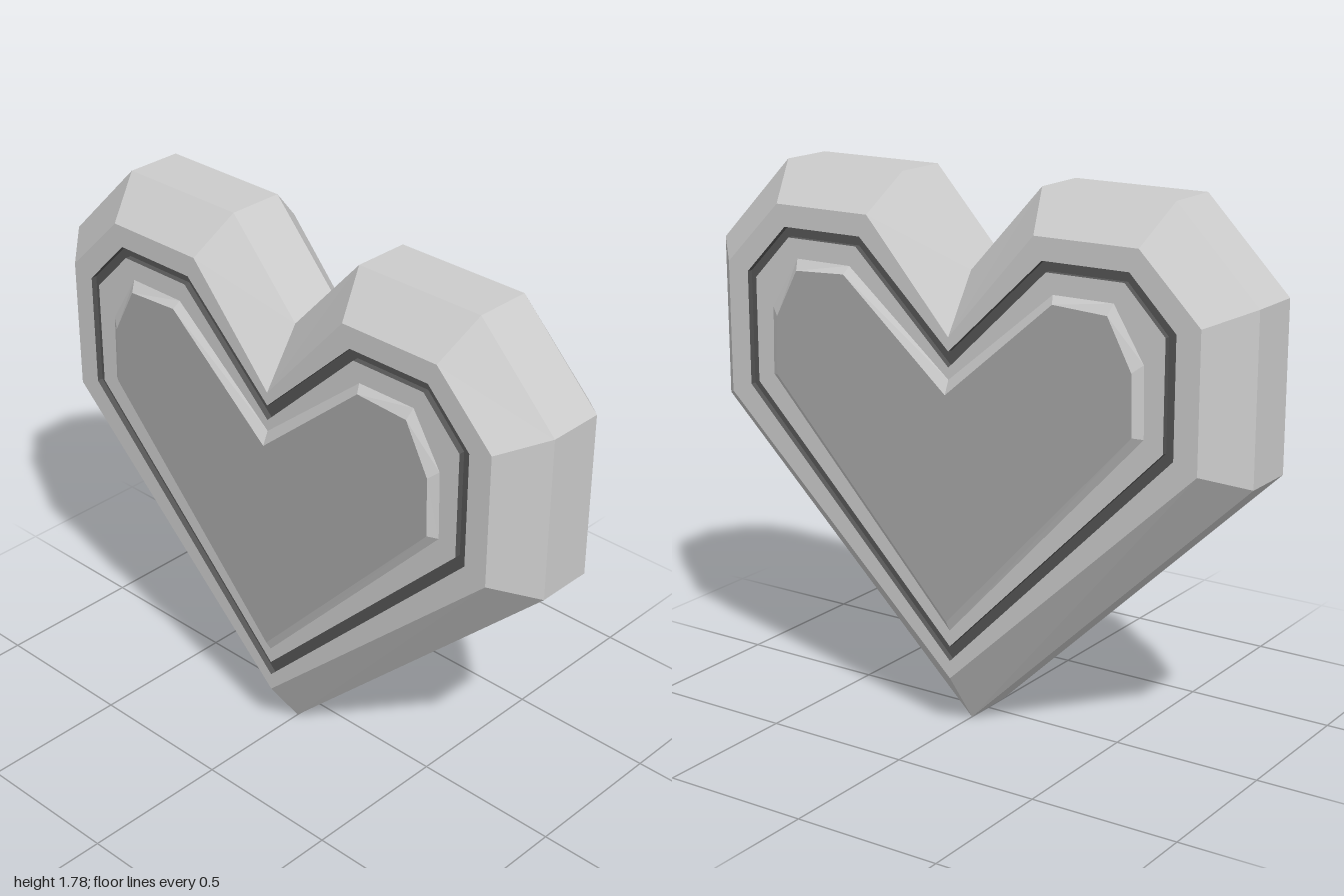
import * as THREE from 'three';

// Closed heart loop, counter-clockwise from the front: tip, right half, notch, mirrored left half.
function heart(tip, right, notch) {
  const left = right.map(([x, y]) => [-x, y]).reverse();
  return [[0, tip], ...right, [0, notch], ...left];
}

// Flat-faced band joining an outer loop at z0 to an inner loop at z1.
function band(a, z0, b, z1) {
  const pos = [];
  a.forEach((_, i) => {
    const j = (i + 1) % a.length;
    const p = [...a[i], z0], q = [...a[j], z0], r = [...b[j], z1], s = [...b[i], z1];
    pos.push(...p, ...q, ...r, ...p, ...r, ...s);
  });
  const g = new THREE.BufferGeometry();
  g.setAttribute('position', new THREE.Float32BufferAttribute(pos, 3));
  g.computeVertexNormals();
  return g;
}

export function createModel() {
  const model = new THREE.Group();
  model.name = 'heart';
  const shell = new THREE.MeshStandardMaterial({ color: 0xcccccc });
  shell.name = 'light grey';
  const panel = new THREE.MeshStandardMaterial({ color: 0xa8a8a8 });
  panel.name = 'mid grey';
  const dark = new THREE.MeshStandardMaterial({ color: 0x555555 });
  dark.name = 'dark grey';

  // Loops from the rim inwards
  const rim = heart(0, [[1, 0.96], [1, 1.5], [0.72, 1.785], [0.26, 1.785]], 1.5);
  const face = heart(0.18, [[0.88, 1.01], [0.88, 1.45], [0.67, 1.66], [0.31, 1.66]], 1.31);
  const grooveOut = heart(0.24, [[0.8, 1.045], [0.8, 1.425], [0.64, 1.588], [0.34, 1.588]], 1.265);
  const grooveIn = heart(0.29, [[0.765, 1.06], [0.765, 1.41], [0.625, 1.555], [0.355, 1.555]], 1.214);
  const raisedOut = heart(0.345, [[0.7, 1.095], [0.695, 1.32], [0.59, 1.49], [0.38, 1.49]], 1.175);
  const raisedIn = heart(0.38, [[0.67, 1.1], [0.665, 1.295], [0.58, 1.455], [0.39, 1.465]], 1.13);

  const zRim = 0.095, zFace = 0.22, zFloor = 0.2, zTop = 0.24;
  const add = (parent, name, geometry, material) => {
    const mesh = new THREE.Mesh(geometry, material);
    mesh.name = name;
    parent.add(mesh);
    return mesh;
  };

  // Straight outer edge
  add(model, 'rim', band(rim, -zRim, rim, zRim), shell);

  // Identical front and back
  ['front', 'back'].forEach((side, k) => {
    const half = new THREE.Group();
    half.name = side + 'Side';
    half.rotation.y = k * Math.PI;
    add(half, 'outerBevel', band(rim, zRim, face, zFace), shell);
    add(half, 'outerFace', band(face, zFace, grooveOut, zFace), shell);
    // Dark groove: outer wall, floor, inner wall
    add(half, 'grooveOuterWall', band(grooveOut, zFace, grooveOut, zFloor), dark);
    add(half, 'grooveFloor', band(grooveOut, zFloor, grooveIn, zFloor), dark);
    add(half, 'grooveInnerWall', band(grooveIn, zFloor, grooveIn, zFace), dark);
    // Raised centre
    add(half, 'innerFace', band(grooveIn, zFace, raisedOut, zFace), shell);
    add(half, 'centreBevel', band(raisedOut, zFace, raisedIn, zTop), shell);
    const shape = new THREE.Shape(raisedIn.map(([x, y]) => new THREE.Vector2(x, y)));
    add(half, 'centrePanel', new THREE.ShapeGeometry(shape), panel).position.z = zTop;
    model.add(half);
  });
  return model;
}
